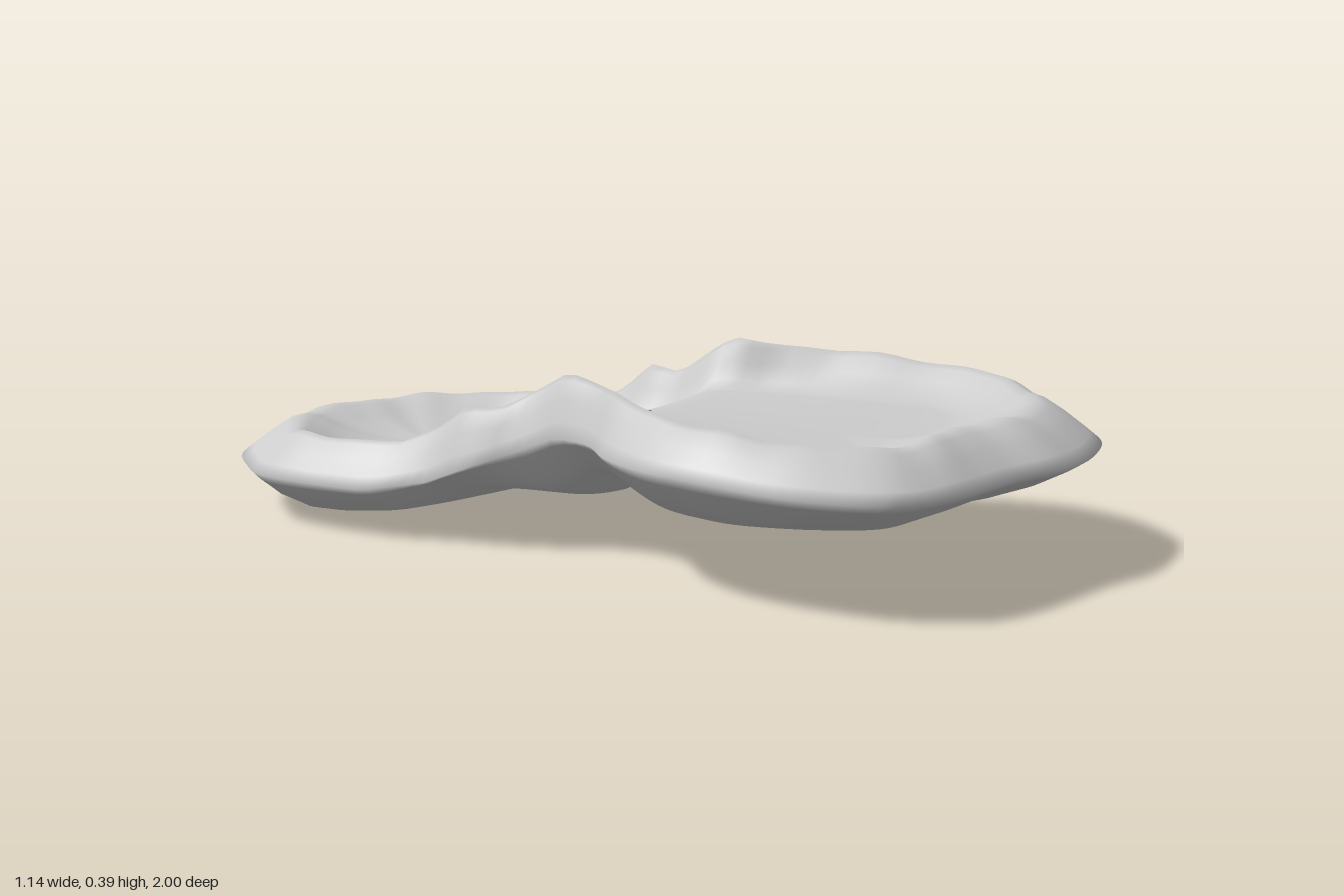
import * as THREE from 'three';

const { lerp, clamp, smoothstep } = THREE.MathUtils;

// Plan outline as x, z pairs, starting at the back and running round by the left side
const OUTLINE = [
  -.11, -1, .06, -.97, .2, -.92, .29, -.82, .35, -.69, .37, -.58, .36, -.45, .34, -.27, .32, -.12,
  .33, .05, .4, .16, .48, .27, .53, .36, .57, .54, .55, .68, .5, .79, .4, .91, .27, .97,
  .12, 1, -.05, .98, -.3, .97, -.44, .93, -.54, .78, -.57, .62, -.57, .47, -.53, .35, -.48, .26,
  -.39, .15, -.37, .06, -.38, -.05, -.42, -.13, -.44, -.28, -.48, -.45, -.48, -.7, -.42, -.8, -.31, -.92,
];

// Heights along z as [z, y]
const CREST = [[-.9, .19], [-.35, .21], [-.27, .24], [-.18, .31], [-.1, .305], [-.04, .34], [.05, .39], [.25, .37], [.85, .323]];
const EDGE = [[-1, .11], [-.4, .11], [-.25, .14], [-.1, .2], [.05, .26], [.5, .265], [1, .235]];
const FLOOR = [[-.8, .13], [-.32, .135], [-.17, .18], [-.1, .19], [.02, .267], [.2, .267], [.9, .265]];
const BASE = [[-.8, -.008], [-.35, .048], [-.22, .085], [-.03, .085], [.1, .148], [.8, .143]];

function heightAt(table, z) {
  if (z <= table[0][0]) return table[0][1];
  for (let i = 1; i < table.length; i++) {
    const [z0, y0] = table[i - 1], [z1, y1] = table[i];
    if (z <= z1) return lerp(y0, y1, (z - z0) / (z1 - z0));
  }
  return table[table.length - 1][1];
}

// Rim section from underside to tray floor: inset, from-table, to-table, mix
const RIM = [
  [.17, EDGE, BASE, .96], [.12, EDGE, BASE, .84], [.06, EDGE, BASE, .52], [.02, EDGE, BASE, .2],
  [0, EDGE, CREST, 0], [.02, EDGE, CREST, .26], [.05, EDGE, CREST, .62], [.08, EDGE, CREST, .92],
  [.1, EDGE, CREST, 1], [.12, CREST, FLOOR, .1], [.15, CREST, FLOOR, .4], [.19, CREST, FLOOR, .7],
  [.23, CREST, FLOOR, .86],
];

function trayGeometry(segments = 160, fillSteps = 12) {
  const points = [];
  for (let i = 0; i < OUTLINE.length; i += 2) points.push(new THREE.Vector3(OUTLINE[i], 0, OUTLINE[i + 1]));
  const outline = new THREE.CatmullRomCurve3(points, true).getSpacedPoints(segments).slice(0, segments);

  // Rows run from the spine of the underside, over the rim, to the spine of the floor
  const rows = [];
  const fill = (row, t) => [row[0], row[1], row[2], lerp(1, row[3], (1 - t) ** 2), t];
  for (let k = fillSteps; k > 0; k--) rows.push(fill(RIM[0], k / fillSteps));
  for (const row of RIM) rows.push([...row, 0]);
  for (let k = 1; k <= fillSteps; k++) rows.push(fill(RIM[RIM.length - 1], k / fillSteps));

  const positions = [], index = [];
  rows.forEach(([inset, from, to, mix, toSpine], r) => {
    outline.forEach((p, i) => {
      // Narrow rim at the neck, broader on the lobes, broadest at both ends
      const lobe = smoothstep(Math.abs(p.z + .02), .08, .42);
      const end = smoothstep(Math.abs(p.z), .5, .97);
      const width = inset * (.48 + lobe * (p.z > 0 ? .45 : .27) + end * (p.z > 0 ? .5 : .62));
      const spineZ = clamp(p.z, -.55, .5);
      const spineX = -.055 * smoothstep(-spineZ, -.3, .5);
      const reach = Math.hypot(spineX - p.x, spineZ - p.z);
      const t = lerp(width / reach, 1, toSpine);
      const x = lerp(p.x, spineX, t), z = lerp(p.z, spineZ, t);

      // Slight hand-shaped unevenness on the rim, and a rounded underside at the neck
      const a = i / segments * Math.PI * 2;
      const wobble = .003 * Math.sin(a * 17) + .002 * Math.sin(a * 29 + 1);
      const onRim = to === CREST ? mix : to === FLOOR ? 1 - mix : 0;
      const keel = to === BASE ? mix * (1 - lobe) * .5 * (x - spineX) ** 2 : 0;
      positions.push(x, lerp(heightAt(from, z), heightAt(to, z), mix) + wobble * onRim + keel, z);

      if (r === rows.length - 1) return;
      const j = r * segments + (i + 1) % segments, k = r * segments + i;
      index.push(k, k + segments, j, j, k + segments, j + segments);
    });
  });
  const geometry = new THREE.BufferGeometry();
  geometry.setAttribute('position', new THREE.Float32BufferAttribute(positions, 3));
  geometry.setIndex(index);
  geometry.computeVertexNormals();
  return geometry;
}

export function createModel() {
  const group = new THREE.Group();
  group.name = 'twoLobedTray';
  const material = new THREE.MeshStandardMaterial({ color: 0xcccccc, side: THREE.DoubleSide });
  const tray = new THREE.Mesh(trayGeometry(), material);
  tray.name = 'tray';
  group.add(tray);
  return group;
}
